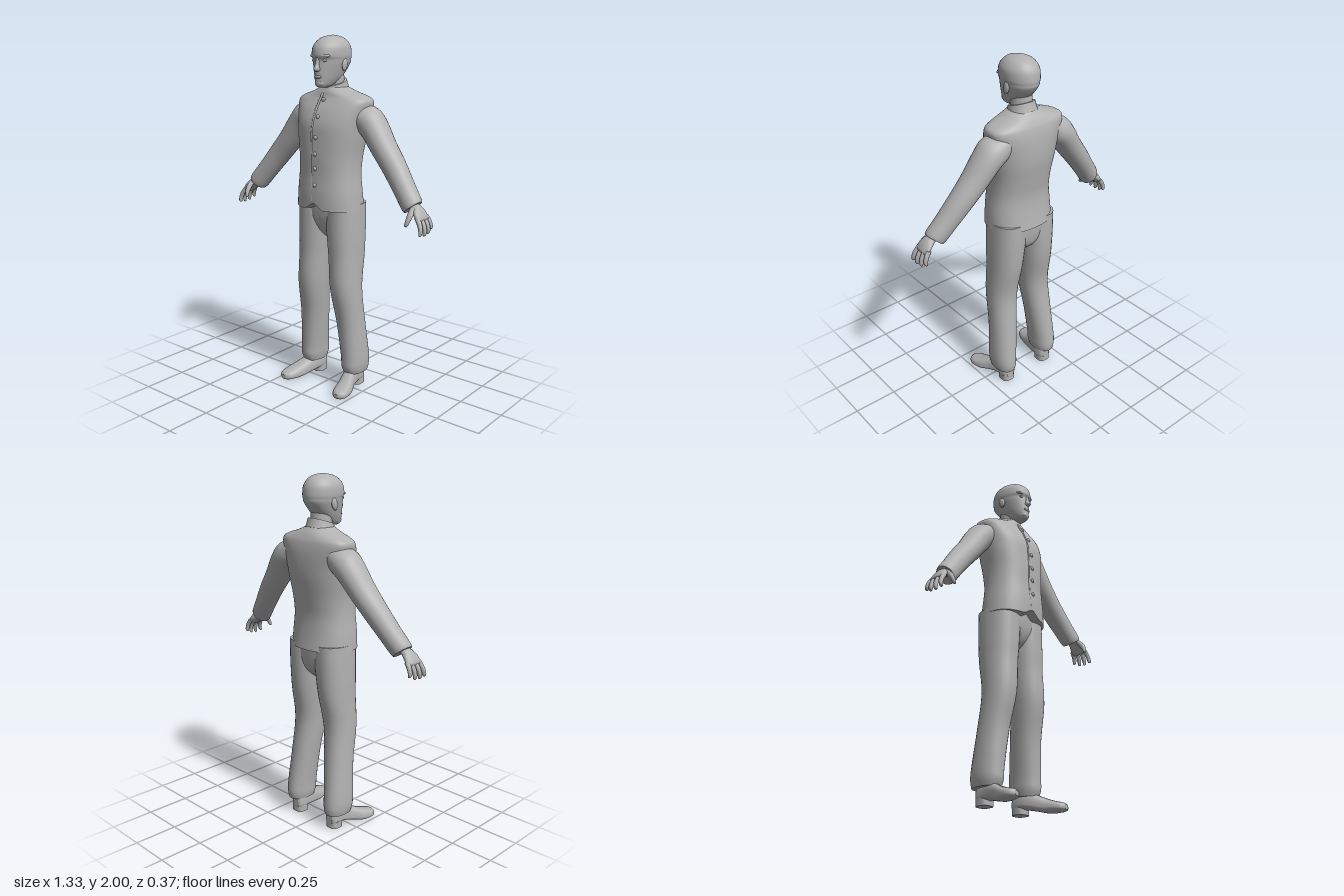
import * as THREE from 'three';

const clay = new THREE.MeshStandardMaterial({ color: 0xb2b2b2 });
clay.name = 'plain grey';

const X = [1, 0, 0], Y = [0, 1, 0], Z = [0, 0, 1];

// Smooth loft through rows [x, y, z, halfU, plusV, minusV, exponent]; s = -1 mirrors it.
function loft(rows, U, V, { s = 1, n = 28, k = 4, warp = null } = {}) {
  const full = [];
  for (let i = 0; i < rows.length - 1; i++) {
    const r = [-1, 0, 1, 2].map(d => rows[Math.min(rows.length - 1, Math.max(0, i + d))]);
    for (let j = 0; j < k + (i === rows.length - 2 ? 1 : 0); j++) {
      const t = j / k;
      full.push([0, 1, 2, 3, 4, 5, 6].map(c => {
        const [p0, p1, p2, p3] = r.map(q => q[c] ?? 2);
        const v = p1 + 0.5 * t * (p2 - p0 + t * (2 * p0 - 5 * p1 + 4 * p2 - p3 + t * (3 * (p1 - p2) + p3 - p0)));
        return c > 2 ? Math.max(v, 0.001) : v;
      }));
    }
  }
  const pos = [], idx = [];
  const ring = ([x, y, z, a, bp, bm, e]) => {
    for (let i = 0; i < n; i++) {
      const t = i / n * Math.PI * 2, c = Math.cos(t), d = Math.sin(t);
      const u = a * Math.sign(c) * Math.abs(c) ** (2 / e);
      const v = (d > 0 ? bp : bm) * Math.sign(d) * Math.abs(d) ** (2 / e);
      const p = new THREE.Vector3(x + U[0] * u + V[0] * v, y + U[1] * u + V[1] * v, z + U[2] * u + V[2] * v);
      if (warp) warp(p);
      pos.push(p.x * s, p.y, p.z);
    }
  };
  full.forEach(ring);
  const A = rows[0], B = rows[rows.length - 1];
  const dir = new THREE.Vector3(B[0] - A[0], B[1] - A[1], B[2] - A[2]);
  const flip = new THREE.Vector3(...U).cross(new THREE.Vector3(...V)).dot(dir) * s < 0;
  const tri = (a, b, c) => flip ? idx.push(a, c, b) : idx.push(a, b, c);
  for (let r = 0; r < full.length - 1; r++) for (let i = 0; i < n; i++) {
    const a = r * n + i, b = r * n + (i + 1) % n;
    tri(a, b, b + n); tri(a, b + n, a + n);
  }
  // End caps keep their own corners so the edges stay crisp.
  [full[0], full[full.length - 1]].forEach((row, e) => {
    const base = pos.length / 3;
    ring(row);
    pos.push(row[0] * s, row[1], row[2]);
    for (let i = 0; i < n; i++) {
      const a = base + i, b = base + (i + 1) % n;
      e ? tri(base + n, a, b) : tri(base + n, b, a);
    }
  });
  const g = new THREE.BufferGeometry();
  g.setAttribute('position', new THREE.Float32BufferAttribute(pos, 3));
  g.setIndex(idx);
  g.computeVertexNormals();
  return g;
}

export function createModel() {
  const model = new THREE.Group();
  model.name = 'standingMan';
  const add = (name, geometry, parent = model) => {
    const m = new THREE.Mesh(geometry, clay);
    m.name = name;
    parent.add(m);
    return m;
  };
  const ball = (name, p, r, parent) => {
    const m = add(name, new THREE.SphereGeometry(1, 16, 12), parent);
    m.position.set(...p);
    m.scale.set(...r);
    return m;
  };

  // Head
  const head = new THREE.Group();
  head.name = 'head';
  model.add(head);
  add('skull', loft([
    [0, 1.724, 0.05, 0.018, 0.03, 0.03], [0, 1.735, 0.03, 0.036, 0.07, 0.04],
    [0, 1.765, 0, 0.055, 0.102, 0.055], [0, 1.8, -0.02, 0.07, 0.122, 0.078],
    [0, 1.85, -0.03, 0.086, 0.13, 0.108], [0, 1.872, -0.03, 0.09, 0.129, 0.114],
    [0, 1.895, -0.03, 0.094, 0.138, 0.116], [0, 1.94, -0.03, 0.09, 0.128, 0.108],
    [0, 1.975, -0.03, 0.067, 0.095, 0.082], [0, 1.992, -0.03, 0.038, 0.054, 0.047],
    [0, 2, -0.03, 0.003, 0.004, 0.004]], X, Z, { n: 36 }), head);
  add('nose', loft([
    [0, 1.885, 0.095, 0.008, 0.01, 0.02], [0, 1.85, 0.098, 0.011, 0.015, 0.02],
    [0, 1.822, 0.1, 0.017, 0.025, 0.02], [0, 1.81, 0.098, 0.012, 0.012, 0.02]], X, Z, { n: 14 }), head);
  ball('lips', [0, 1.782, 0.096], [0.025, 0.009, 0.011], head);
  ball('chin', [0, 1.747, 0.083], [0.028, 0.018, 0.02], head);
  for (const s of [1, -1]) {
    ball('ear', [0.087 * s, 1.845, -0.025], [0.011, 0.034, 0.02], head).rotation.x = -0.2;
    ball('brow', [0.035 * s, 1.892, 0.085], [0.034, 0.01, 0.014], head).rotation.y = 0.35 * s;
    ball('eye', [0.034 * s, 1.868, 0.084], [0.016, 0.008, 0.008], head);
  }
  add('neck', loft([
    [0, 1.67, -0.045, 0.065, 0.06, 0.065], [0, 1.74, -0.038, 0.058, 0.056, 0.062],
    [0, 1.82, -0.03, 0.06, 0.06, 0.065]], X, Z));

  // Jacket body: flat back, rounded front, hem cut away at the front opening
  add('jacketBody', loft([
    [0, 1.06, -0.01, 0.196, 0.145, 0.158, 2.3], [0, 1.15, -0.01, 0.19, 0.146, 0.146, 2.3],
    [0, 1.25, -0.01, 0.181, 0.14, 0.14, 2.3], [0, 1.35, -0.02, 0.183, 0.15, 0.143, 2.3],
    [0, 1.45, -0.03, 0.198, 0.155, 0.148, 2.35], [0, 1.53, -0.045, 0.21, 0.162, 0.136, 2.4],
    [0, 1.6, -0.06, 0.225, 0.15, 0.117, 2.5], [0, 1.65, -0.067, 0.232, 0.126, 0.1, 2.6],
    [0, 1.675, -0.067, 0.205, 0.112, 0.089, 2.5], [0, 1.7, -0.06, 0.13, 0.098, 0.08, 2.3],
    [0, 1.728, -0.045, 0.07, 0.07, 0.07, 2]], X, Z, {
    n: 72,
    warp: p => {
      const d = Math.abs(p.x + 0.005) / 0.06;
      if (p.z > 0.08 && p.y < 1.1 && d < 1) p.y += 0.04 * (1 - d) * (1.1 - p.y) / 0.04;
    }
  }));
  // Stand collar, lower at the throat
  add('collar', loft([
    [0, 1.7, -0.045, 0.083, 0.083, 0.08], [0, 1.725, -0.042, 0.077, 0.076, 0.075],
    [0, 1.75, -0.04, 0.072, 0.068, 0.07]], X, [0, -0.32, 1]));

  // Front edge, buttons and breast pocket
  const edge = new THREE.CatmullRomCurve3([[-0.018, 1.11, 0.132], [-0.022, 1.25, 0.127], [-0.022, 1.4, 0.125],
    [-0.022, 1.53, 0.115], [-0.02, 1.62, 0.08], [-0.012, 1.7, 0.034]].map(p => new THREE.Vector3(...p)));
  add('jacketFrontEdge', new THREE.TubeGeometry(edge, 40, 0.006, 8));
  for (const [y, z] of [[1.2, 0.133], [1.29, 0.13], [1.37, 0.128], [1.46, 0.124], [1.57, 0.103], [1.66, 0.056]])
    ball('button', [0.005, y, z], [0.012, 0.012, 0.009]);
  add('breastPocket', new THREE.TubeGeometry(new THREE.CatmullRomCurve3([[0.05, 1.53, 0.111],
    [0.09, 1.535, 0.1], [0.135, 1.54, 0.074]].map(p => new THREE.Vector3(...p))), 12, 0.005, 6));

  // Seat of the trousers
  add('trouserSeat', loft([
    [0, 1.1, -0.025, 0.186, 0.115, 0.125, 2.4], [0, 1, -0.025, 0.17, 0.108, 0.12, 2.3],
    [0, 0.93, -0.028, 0.1, 0.085, 0.1], [0, 0.885, -0.03, 0.03, 0.045, 0.05]], X, Z));

  for (const s of [1, -1]) {
    const side = s > 0 ? 'left' : 'right';
    const o = { s };
    // Trouser leg
    add(side + 'TrouserLeg', loft([
      [0.1, 1.09, -0.03, 0.094, 0.122, 0.122, 2.3], [0.1, 0.98, -0.028, 0.097, 0.121, 0.122, 2.3],
      [0.104, 0.88, -0.025, 0.095, 0.118, 0.12, 2.2], [0.109, 0.78, -0.022, 0.09, 0.112, 0.112, 2.2],
      [0.119, 0.6, -0.007, 0.083, 0.098, 0.097, 2.2], [0.134, 0.4, -0.033, 0.075, 0.089, 0.088, 2.2],
      [0.151, 0.2, -0.05, 0.069, 0.092, 0.095, 2.2], [0.153, 0.13, -0.053, 0.066, 0.093, 0.097, 2.2],
      [0.153, 0.09, -0.054, 0.058, 0.08, 0.088, 2.2]], X, Z, o));

    // Shoe with separate heel
    add(side + 'Shoe', loft([
      [0.143, 0.05, -0.118, 0.024, 0.04, 0.025, 2.4], [0.143, 0.05, -0.1, 0.04, 0.07, 0.025, 2.6],
      [0.146, 0.05, -0.04, 0.045, 0.075, 0.024, 2.6], [0.16, 0.04, 0.02, 0.046, 0.062, 0.026, 2.5],
      [0.182, 0.025, 0.08, 0.051, 0.05, 0.025, 2.5], [0.195, 0.022, 0.135, 0.049, 0.034, 0.022, 2.5],
      [0.199, 0.021, 0.168, 0.036, 0.026, 0.019, 2.4], [0.2, 0.021, 0.184, 0.014, 0.014, 0.012]], X, Y, o));
    add(side + 'ShoeHeel', loft([
      [0.144, 0, -0.077, 0.04, 0.04, 0.042, 3], [0.144, 0.04, -0.077, 0.041, 0.04, 0.041, 3]], X, Z, { s, k: 1 }));

    // Sleeve hanging away from the body
    const across = [0.78, 0.63, 0];
    add(side + 'Sleeve', loft([
      [0.13, 1.615, -0.07, 0.05, 0.07, 0.075], [0.198, 1.565, -0.07, 0.083, 0.088, 0.09],
      [0.257, 1.511, -0.07, 0.076, 0.086, 0.088], [0.33, 1.415, -0.058, 0.069, 0.076, 0.08],
      [0.408, 1.321, -0.045, 0.065, 0.068, 0.072], [0.49, 1.218, -0.024, 0.06, 0.062, 0.064],
      [0.545, 1.149, -0.008, 0.059, 0.058, 0.06], [0.559, 1.131, -0.005, 0.054, 0.053, 0.054]], across, Z, o));

    // Hand
    const hand = new THREE.Group();
    hand.name = side + 'Hand';
    model.add(hand);
    add('palm', loft([
      [0.545, 1.15, -0.004, 0.026, 0.032, 0.032], [0.578, 1.135, 0, 0.024, 0.035, 0.034],
      [0.603, 1.112, 0.003, 0.023, 0.05, 0.046], [0.625, 1.083, 0.003, 0.018, 0.054, 0.05],
      [0.632, 1.072, 0.003, 0.01, 0.046, 0.044]], across, Z, { s, n: 20 }), hand);
    [[0.044, 0.064, 0.95], [0.016, 0.026, 1], [-0.013, -0.012, 0.95], [-0.038, -0.047, 0.78]].forEach(([z0, z1, l]) => {
      const f = (x, y, t, r) => [0.615 + x * l, 1.095 - y * l, z0 + (z1 - z0) * t, r, r, r];
      add('finger', loft([f(0, 0, 0, 0.014), f(0.024, 0.034, 0.4, 0.013), f(0.036, 0.065, 0.7, 0.012),
        f(0.038, 0.088, 0.95, 0.01), f(0.037, 0.096, 1, 0.003)], [0.9, 0.4, 0], Z, { s, n: 10, k: 3 }), hand);
    });
    add('thumb', loft([
      [0.58, 1.135, 0.025, 0.016, 0.016, 0.016], [0.583, 1.105, 0.055, 0.016, 0.016, 0.016],
      [0.58, 1.075, 0.074, 0.013, 0.012, 0.012], [0.575, 1.052, 0.082, 0.009, 0.009, 0.009],
      [0.574, 1.046, 0.083, 0.003, 0.003, 0.003]], X, [0, 0.4, 0.9], { s, n: 10, k: 3 }), hand);
  }
  return model;
}
